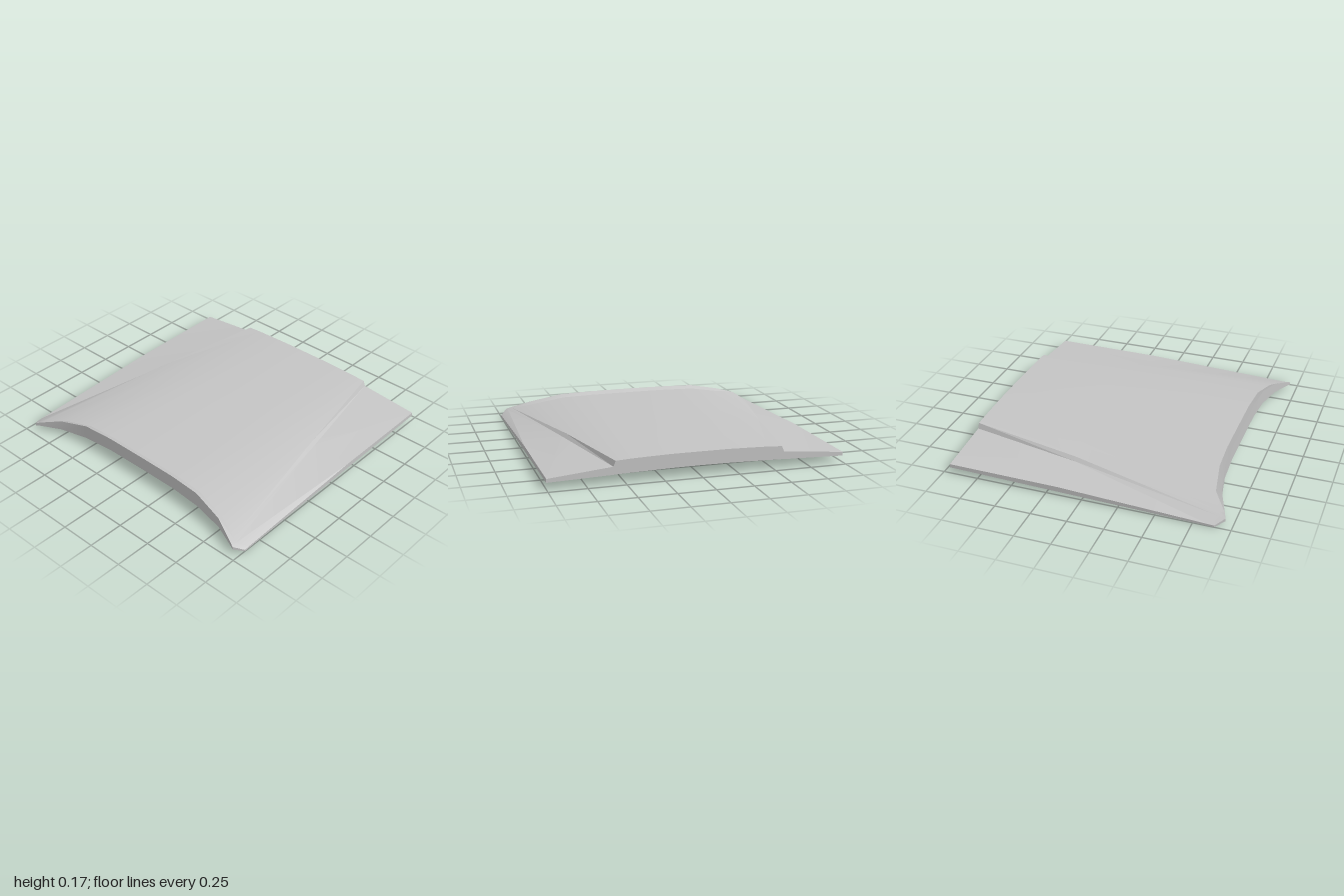
import * as THREE from 'three';
import { toCreasedNormals } from 'three/addons/utils/BufferGeometryUtils.js';

// Half-width cross-sections, from the centre line out: panel, step top, step foot, wing edge
const BACK_X = [0, 0.18, 0.32, 0.46, 0.56, 0.575, 1];
const FRONT_X = [0, 0.3, 0.53, 0.76, 0.915, 0.95, 1];
const FRONT_Z = [0.82, 0.82, 0.83, 0.87, 0.935, 0.95, 0.89];
const LIP = 0.04;

// Heights of the upper skin at four stations from back to front
const TOP_Y = [
  [0.16, 0.16, 0.157, 0.153, 0.147, 0.11, 0.07],
  [0.166, 0.165, 0.16, 0.146, 0.126, 0.102, 0.062],
  [0.155, 0.154, 0.146, 0.101, 0.062, 0.048, 0.015],
  [0.175, 0.173, 0.165, 0.115, 0.062, 0.047, 0.012],
];
// Heights of the underside at its back and front edges
const UNDER_BACK = [0.068, 0.067, 0.064, 0.061, 0.058, 0.057, 0.045];
const UNDER_FRONT = [0.075, 0.072, 0.06, 0.043, 0.033, 0.026, 0];

// Fraction of the length at each station for a column
const stations = (c) => [0, 0.42, 1 - LIP / (FRONT_Z[c] + 0.95), 1];

const mix = THREE.MathUtils.lerp;

function point(c, t, y) {
  return [mix(BACK_X[c], FRONT_X[c], t), y, mix(-0.95, FRONT_Z[c], t)];
}

// Mirrors a half section to a full one running from -x to +x
function mirrorRow(half) {
  const left = half.slice(1).reverse().map(([x, y, z]) => [-x, y, z]);
  return [...left, ...half];
}

// Surface through rows of points, with sharp edges kept
function skin(rows) {
  const cols = rows[0].length;
  const index = [];
  for (let r = 0; r < rows.length - 1; r++) {
    for (let c = 0; c < cols - 1; c++) {
      const a = r * cols + c;
      const b = a + cols;
      index.push(a, b, a + 1, a + 1, b, b + 1);
    }
  }
  const geometry = new THREE.BufferGeometry();
  geometry.setAttribute('position', new THREE.Float32BufferAttribute(rows.flat(2), 3));
  geometry.setIndex(index);
  return toCreasedNormals(geometry, 0.3);
}

export function createModel() {
  const paint = new THREE.MeshStandardMaterial({ color: 0xc4c4c4 });
  paint.name = 'grey paint';
  const hood = new THREE.Group();
  hood.name = 'hood';

  const add = (name, rows) => {
    const mesh = new THREE.Mesh(skin(rows), paint);
    mesh.name = name;
    hood.add(mesh);
  };

  const top = TOP_Y.map((ys, r) => mirrorRow(ys.map((y, c) => point(c, stations(c)[r], y))));
  const under = TOP_Y.map((ys, r) => mirrorRow(ys.map((_, c) => {
    const t = stations(c)[r];
    return point(c, t, mix(UNDER_BACK[c], UNDER_FRONT[c], t));
  })));
  const last = top[0].length - 1;
  const edge = (rows, c) => rows.map((row) => row[c]);

  // Raised centre panel, steps, side wings and front lip
  add('upperSkin', top);
  add('underside', [...under].reverse());

  // Closing faces around the rim
  add('frontFace', [top[3], under[3]]);
  add('backFace', [under[0], top[0]]);
  add('leftEdge', [edge(under, last), edge(top, last)]);
  add('rightEdge', [edge(top, 0), edge(under, 0)]);

  return hood;
}
